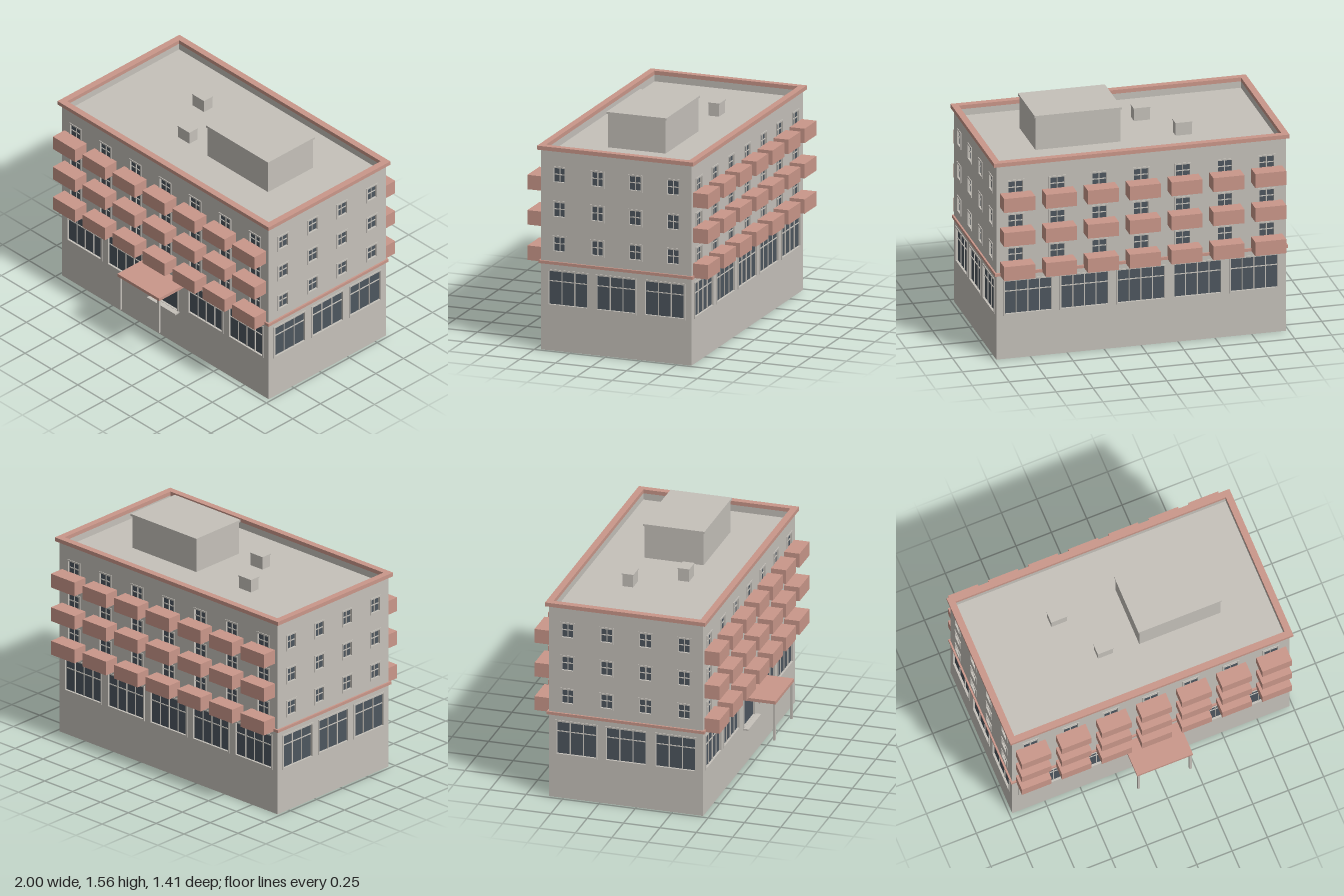
import * as THREE from 'three';

const mat = (name, color, side = THREE.FrontSide) => {
  const m = new THREE.MeshStandardMaterial({ color, side });
  m.name = name;
  return m;
};

export function createModel() {
  const plaster = mat('plaster', 0xc5c1ba, THREE.DoubleSide);
  const terracotta = mat('terracotta', 0xca978a);
  const glass = mat('glass', 0x4d565f, THREE.DoubleSide);

  const model = new THREE.Group();
  model.name = 'apartmentBuilding';
  const W = 0.98, D = 0.53, ZC = -0.07, H = 1.36, ROOF = 1.315;

  const add = (parent, name, geo, material) => {
    const m = new THREE.Mesh(geo, material);
    m.name = name;
    parent.add(m);
    return m;
  };
  // Box given by its extents on each axis
  const box = (parent, name, x0, x1, y0, y1, z0, z1, material) => {
    const m = add(parent, name, new THREE.BoxGeometry(x1 - x0, y1 - y0, z1 - z0), material);
    m.position.set((x0 + x1) / 2, (y0 + y1) / 2, (z0 + z1) / 2);
    return m;
  };
  const rect = (Type, x0, x1, y0, y1) => new Type([
    new THREE.Vector2(x0, y0), new THREE.Vector2(x1, y0),
    new THREE.Vector2(x1, y1), new THREE.Vector2(x0, y1)]);
  // Rectangular ring in the local xy plane
  const ring = (x0, x1, y0, y1, border, depth) => {
    const s = rect(THREE.Shape, x0, x1, y0, y1);
    s.holes.push(rect(THREE.Path, x0 + border, x1 - border, y0 + border, y1 - border));
    return new THREE.ExtrudeGeometry(s, { depth, bevelEnabled: false });
  };
  // Horizontal ring around the building
  const flatRing = (name, hx, hz, border, y0, y1, material) => {
    const m = add(model, name, ring(-hx, hx, -hz, hz, border, y1 - y0), material);
    m.rotation.x = -Math.PI / 2;
    m.position.set(0, y0, ZC);
  };

  // Framed window: pane set back, glazing bars in columns and one crossbar
  const BORDER = 0.011;
  const addWindow = (parent, o) => {
    const g = new THREE.Group();
    g.name = o.name;
    parent.add(g);
    const x0 = o.x - o.w / 2, x1 = o.x + o.w / 2;
    box(g, 'pane', x0 + 0.002, x1 - 0.002, o.y0 + 0.002, o.y1 - 0.002, -0.013, -0.01, glass);
    const frame = add(g, 'frame', ring(x0, x1, o.y0, o.y1, BORDER, 0.015), plaster);
    frame.position.z = -0.01;
    const inner = o.w - 2 * BORDER;
    for (let i = 1; i < o.cols; i++) {
      const x = x0 + BORDER + inner * i / o.cols;
      box(g, 'mullion', x - 0.003, x + 0.003, o.y0 + BORDER, o.y1 - BORDER, -0.01, -0.004, plaster);
    }
    if (o.bar) box(g, 'crossbar', x0 + BORDER, x1 - BORDER, o.bar - 0.003, o.bar + 0.003, -0.01, -0.005, plaster);
  };

  // Wall sheet pierced by its openings
  const addWall = (name, half, openings, x, z, turn) => {
    const g = new THREE.Group();
    g.name = name;
    g.position.set(x, 0, z);
    g.rotation.y = turn;
    model.add(g);
    const s = rect(THREE.Shape, -half, half, 0, H);
    for (const o of openings) {
      s.holes.push(rect(THREE.Path, o.x - o.w / 2 + 0.004, o.x + o.w / 2 - 0.004, o.y0 + 0.004, o.y1 - 0.004));
    }
    add(g, name + 'Sheet', new THREE.ShapeGeometry(s), plaster);
    openings.forEach(o => addWindow(g, o));
    return g;
  };

  const floors = [0.59, 0.83, 1.07];
  const tops = [0.785, 1.02, 1.255];
  const bays = Array.from({ length: 7 }, (_, i) => -0.85 + i * 0.2833);

  // Long walls: balcony doors above, wide windows below
  const balconyDoors = floors.flatMap((y, f) => bays.map(x => ({
    name: 'balconyDoor', x, w: 0.118, y0: y + 0.016, y1: tops[f], cols: 2, bar: tops[f] - 0.056 })));
  const wide = x => ({ name: 'wideWindow', x, w: 0.338, y0: 0.305, y1: 0.555, cols: 4, bar: 0.472 });
  const entrance = { name: 'entranceDoor', x: 0, w: 0.25, y0: 0.262, y1: 0.49, cols: 1 };
  const front = addWall('frontWall', W,
    [...balconyDoors, ...[-0.765, -0.382, 0.382, 0.765].map(wide), entrance], 0, ZC + D, 0);
  const back = addWall('backWall', W,
    [...balconyDoors, ...[-0.765, -0.382, 0, 0.382, 0.765].map(wide)], 0, ZC - D, Math.PI);

  // Short walls
  const sideOpenings = [
    ...tops.flatMap(y => [-0.4, -0.133, 0.133, 0.4].map(x => ({
      name: 'smallWindow', x, w: 0.1, y0: y - 0.117, y1: y, cols: 2, bar: y - 0.056 }))),
    ...[-0.34, 0, 0.34].map(x => ({
      name: 'sideWideWindow', x, w: 0.292, y0: 0.303, y1: 0.552, cols: 3, bar: 0.472 }))];
  addWall('leftWall', D, sideOpenings, W, ZC, Math.PI / 2);
  addWall('rightWall', D, sideOpenings, -W, ZC, -Math.PI / 2);

  // Balconies on both long walls
  for (const wall of [front, back]) {
    for (const y of floors) {
      for (const x of bays) box(wall, 'balcony', x - 0.105, x + 0.105, y, y + 0.098, 0, 0.106, terracotta);
    }
  }

  // Bands and parapet
  flatRing('floorBand', W + 0.012, D + 0.012, 0.013, 0.588, 0.608, terracotta);
  flatRing('parapet', W - 0.001, D - 0.001, 0.024, ROOF, H, plaster);
  flatRing('cornice', 1.0, 0.55, 0.045, H, 1.387, terracotta);

  // Roof deck
  const deck = add(model, 'roofDeck', new THREE.PlaneGeometry(2 * W - 0.01, 2 * D - 0.01), plaster);
  deck.rotation.x = -Math.PI / 2;
  deck.position.set(0, ROOF, ZC);

  // Roof housing and vents, each with a lid
  const housing = (name, x0, x1, z0, z1, top, lip, lid) => {
    box(model, name, x0 + lip, x1 - lip, ROOF, top - lid, z0 + lip, z1 - lip, plaster);
    box(model, name + 'Lid', x0, x1, top - lid, top, z0, z1, plaster);
  };
  housing('roofHouse', 0.046, 0.636, -0.285, 0.138, 1.557, 0.008, 0.015);
  housing('roofVent', -0.435, -0.32, -0.275, -0.195, 1.405, 0.003, 0.008);
  housing('roofVent', -0.237, -0.124, 0.045, 0.125, 1.405, 0.003, 0.008);

  // Entrance canopy, posts and step
  box(model, 'canopy', -0.197, 0.197, 0.503, 0.525, 0.46, 0.705, terracotta);
  for (const s of [-1, 1]) {
    box(model, 'canopyPost', s * 0.183 - 0.008, s * 0.183 + 0.008, 0.243, 0.503, 0.684, 0.7, plaster);
  }
  box(model, 'entranceStep', -0.133, 0.133, 0.259, 0.271, 0.46, 0.5, plaster);

  return model;
}
